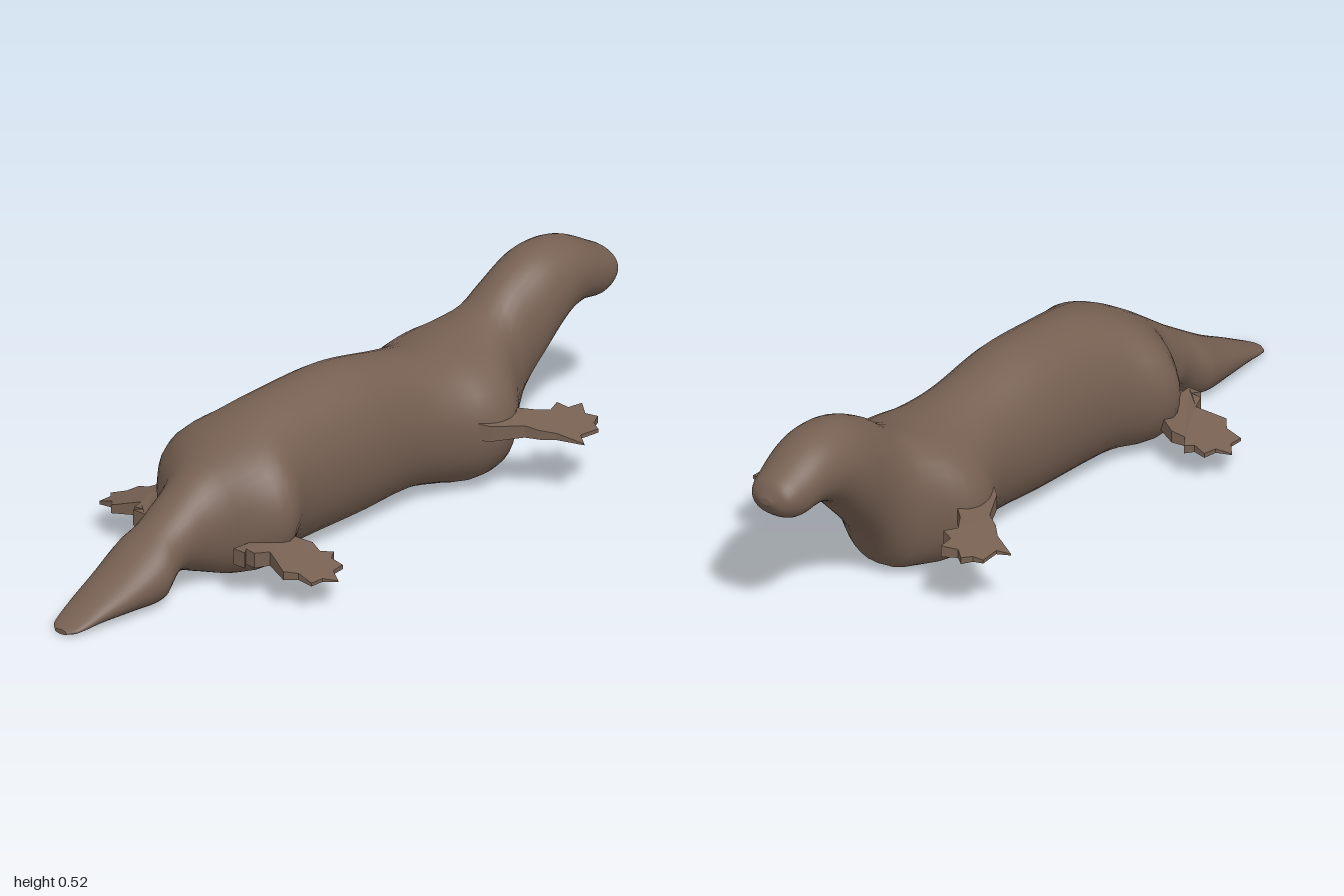
import * as THREE from 'three';

// Body stations: x, top y, bottom y, half width
const STATIONS = [
  [-1, 0.018, 0.006, 0.02], [-0.98, 0.028, 0.006, 0.042], [-0.9, 0.07, 0.01, 0.064],
  [-0.8, 0.12, 0.008, 0.085], [-0.7, 0.18, 0.006, 0.1], [-0.66, 0.205, 0.03, 0.085],
  [-0.62, 0.23, 0.06, 0.084], [-0.52, 0.3, 0.03, 0.11], [-0.46, 0.34, 0.012, 0.18],
  [-0.39, 0.378, 0.008, 0.228], [-0.29, 0.412, 0.018, 0.182], [-0.2, 0.425, 0.018, 0.166],
  [0, 0.432, 0.02, 0.16], [0.2, 0.398, 0.03, 0.156], [0.3, 0.379, 0.016, 0.19],
  [0.36, 0.377, 0.005, 0.222], [0.43, 0.385, 0.008, 0.222], [0.48, 0.4, 0.012, 0.185],
  [0.54, 0.428, 0.03, 0.135], [0.6, 0.472, 0.13, 0.112], [0.7, 0.518, 0.24, 0.11],
  [0.78, 0.525, 0.312, 0.104], [0.85, 0.512, 0.336, 0.094], [0.93, 0.472, 0.33, 0.08],
  [0.98, 0.44, 0.355, 0.058], [1, 0.405, 0.388, 0.018],
];

// Smooth interpolation of one station column at x
function sample(x, col) {
  const last = STATIONS.length - 1;
  let i = 0;
  while (i < last - 1 && x > STATIONS[i + 1][0]) i++;
  const slope = (k) => {
    const a = STATIONS[Math.max(k - 1, 0)], b = STATIONS[Math.min(k + 1, last)];
    return (b[col] - a[col]) / (b[0] - a[0]);
  };
  const p = STATIONS[i], q = STATIONS[i + 1];
  const d = q[0] - p[0], t = (x - p[0]) / d, t2 = t * t, t3 = t2 * t;
  return (2 * t3 - 3 * t2 + 1) * p[col] + (t3 - 2 * t2 + t) * d * slope(i)
    + (3 * t2 - 2 * t3) * q[col] + (t3 - t2) * d * slope(i + 1);
}

// Body, head and tail as one smooth loft along x
function bodyGeometry(rings = 110, sides = 36) {
  const pos = [], index = [];
  for (let r = 0; r <= rings; r++) {
    const x = -Math.cos((Math.PI * r) / rings);
    const top = sample(x, 1), bottom = sample(x, 2), w = sample(x, 3);
    const mid = (top + bottom) / 2, h = (top - bottom) / 2;
    for (let s = 0; s < sides; s++) {
      const a = (2 * Math.PI * s) / sides, c = Math.cos(a), n = Math.sin(a);
      // fuller, flatter underside
      const z = Math.sign(n) * Math.pow(Math.abs(n), c < 0 ? 0.85 : 1) * w;
      pos.push(x, mid + h * c, z);
      if (r < rings) {
        const i = r * sides + s, j = r * sides + ((s + 1) % sides);
        index.push(i, j, i + sides, j, j + sides, i + sides);
      }
    }
  }
  // end caps
  const tail = pos.length / 3, nose = tail + 1, start = rings * sides;
  pos.push(-1, 0.012, 0, 1, 0.397, 0);
  for (let s = 0; s < sides; s++) {
    const n = (s + 1) % sides;
    index.push(tail, n, s, nose, start + s, start + n);
  }
  const g = new THREE.BufferGeometry();
  g.setAttribute('position', new THREE.Float32BufferAttribute(pos, 3));
  g.setIndex(index);
  g.computeVertexNormals();
  return g;
}

// Ragged webbed foot: flat outline, thick at the root and thin at the tip
function footGeometry(outline, side, rootLow, rootHigh, tip) {
  const shape = new THREE.Shape(outline.map(([x, z]) => new THREE.Vector2(x, -side * z)));
  const g = new THREE.ExtrudeGeometry(shape, { depth: 1, bevelEnabled: false });
  g.rotateX(-Math.PI / 2);
  const p = g.attributes.position;
  for (let i = 0; i < p.count; i++) {
    const t = THREE.MathUtils.clamp((Math.abs(p.getZ(i)) - 0.2) / 0.2, 0, 1);
    const root = p.getY(i) > 0.5 ? rootHigh : rootLow;
    const edge = p.getY(i) > 0.5 ? tip + 0.003 : tip;
    p.setY(i, THREE.MathUtils.lerp(root, edge, t));
  }
  g.computeVertexNormals();
  return g;
}

const FRONT_FOOT = [
  [0.32, 0.2], [0.34, 0.225], [0.42, 0.265], [0.44, 0.3], [0.47, 0.33], [0.5, 0.397],
  [0.52, 0.365], [0.58, 0.37], [0.59, 0.345], [0.62, 0.33], [0.6, 0.305], [0.625, 0.27],
  [0.58, 0.265], [0.57, 0.235], [0.53, 0.25], [0.49, 0.225], [0.45, 0.18], [0.38, 0.17],
];
const HIND_FOOT = [
  [-0.53, 0.155], [-0.53, 0.195], [-0.51, 0.18], [-0.51, 0.21], [-0.47, 0.225], [-0.5, 0.3],
  [-0.47, 0.325], [-0.47, 0.37], [-0.43, 0.37], [-0.4, 0.397], [-0.38, 0.36], [-0.34, 0.355],
  [-0.345, 0.32], [-0.32, 0.305], [-0.35, 0.285], [-0.34, 0.25], [-0.37, 0.19], [-0.45, 0.16],
];

export function createModel() {
  const group = new THREE.Group();
  const fur = new THREE.MeshStandardMaterial({ color: 0x766052 });
  fur.name = 'brownFur';
  const add = (name, geometry) => {
    const mesh = new THREE.Mesh(geometry, fur);
    mesh.name = name;
    group.add(mesh);
  };
  add('body', bodyGeometry());
  for (const side of [1, -1]) {
    const label = side > 0 ? 'Near' : 'Far';
    add('frontFoot' + label, footGeometry(FRONT_FOOT, side, 0.175, 0.222, 0.165));
    add('hindFoot' + label, footGeometry(HIND_FOOT, side, 0.095, 0.138, 0.077));
  }
  return group;
}
